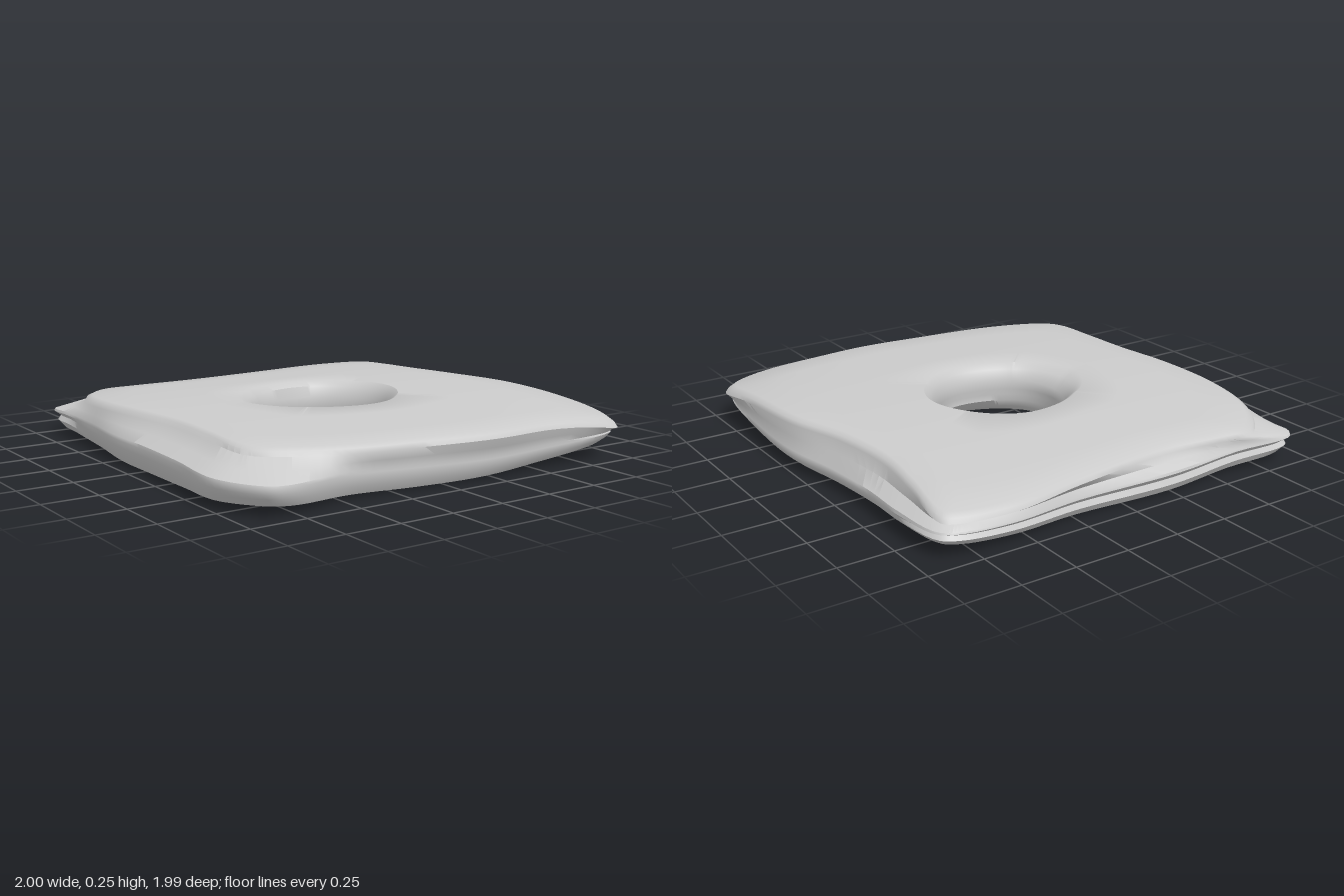
import * as THREE from 'three';
import { toCreasedNormals } from 'three/addons/utils/BufferGeometryUtils.js';

// Matching outlines [x, z] of the upper and lower lips: back, right, front, left
const UPPER = [
  [-0.79, -0.85], [-0.68, -0.94], [-0.52, -0.935], [-0.2, -0.91], [0.25, -0.95], [0.6, -1.0], [0.84, -0.97], [0.9, -0.93],
  [0.87, -0.65], [0.85, -0.4], [0.89, -0.1], [0.97, 0.2], [0.99, 0.6], [0.98, 0.9], [0.93, 0.96],
  [0.5, 0.975], [0.2, 0.99], [-0.15, 0.95], [-0.47, 0.9], [-0.7, 0.82], [-0.8, 0.76], [-0.85, 0.68],
  [-0.855, 0.4], [-0.86, 0.15], [-0.9, -0.17], [-0.91, -0.45], [-0.87, -0.7]];
const LOWER = [
  [-0.93, -0.93], [-0.88, -0.97], [-0.6, -0.95], [-0.25, -0.97], [0.25, -0.94], [0.6, -0.98], [0.84, -0.97], [0.91, -0.93],
  [0.93, -0.65], [0.92, -0.4], [0.94, -0.1], [0.99, 0.2], [0.99, 0.55], [0.96, 0.87], [0.91, 0.94],
  [0.5, 0.95], [0.2, 0.96], [-0.15, 0.93], [-0.48, 0.9], [-0.8, 0.965], [-0.89, 0.94], [-1.0, 0.74],
  [-0.98, 0.4], [-0.97, 0.1], [-0.97, -0.2], [-0.94, -0.5], [-0.93, -0.8]];

const smoothLoop = (pts) =>
  new THREE.CatmullRomCurve3(pts.map(([x, z]) => new THREE.Vector3(x, 0, z)), true, 'centripetal');

// Gently domed top, drooping at the front left corner, and an underside that lifts at the corners
const frontCorner = (x, z) => (Math.max(x, 0) * Math.max(z, 0)) ** 2;
const topY = (x, z) =>
  0.253 - (z < 0 ? 0.06 : 0.035) * z * z - 0.012 * x ** 6 - 0.065 * frontCorner(x, z) ** 2;
const bottomY = (x, z) =>
  0.001 + (x > 0 ? 0.03 : 0.012) * x * x + 0.015 * z * z + 0.035 * (x * z) ** 2 + 0.025 * frontCorner(x, z);

// Pointed flare of the hole rim, tapering linearly either side of an angle
const flareAt = (a, centre, width) =>
  Math.max(0, 1 - Math.abs(Math.atan2(Math.sin(a - centre), Math.cos(a - centre))) / width);

// One section from the top rim, out round the two lips, and back through the hole
function section(u, l) {
  const a = Math.atan2(u.z, u.x);
  const r = 0.298 + 0.01 * Math.cos(2 * a) + 0.004 * Math.cos(a) + 0.004 * Math.cos(5 * a);
  const wall = (rad, y) => new THREE.Vector3(rad * Math.cos(a), y, rad * Math.sin(a));
  const flare = 0.07 * flareAt(a, Math.PI, 0.8);
  const under = 0.04 * flareAt(a, Math.PI / 2, 1.2);
  const rim = wall(r + 0.05 + flare, 0);
  const base = wall(r + 0.05 + under, 0);
  const ring = (p, scale, y) => p.clone().multiplyScalar(scale).setY(y);
  const out = [];

  // top face
  for (const t of [0, 0.25, 0.5, 0.75, 1]) {
    const p = rim.clone().lerp(ring(u, 0.965, 0), t);
    out.push(p.setY(topY(p.x, p.z)));
  }
  // lips: the groove fades out towards the front and left, a second one runs along the back
  const lipY = topY(u.x, u.z) - 0.02;
  const lowY = 0.1 - 0.022 * l.x + (l.x > 0 ? 0.055 : 0) * (l.x * l.z) ** 2;
  const edgeY = bottomY(l.x, l.z);
  const groove = 0.035 * THREE.MathUtils.clamp((l.x - l.z) / 2 + 0.1, 0, 1);
  const back = THREE.MathUtils.smoothstep(-l.z, 0.5, 0.9);
  out.push(ring(u, 0.99, lipY + 0.01), ring(u, 1, lipY - 0.01));
  out.push(ring(u.clone().lerp(l, 0.5), 1 - groove, (lipY + lowY) / 2));
  out.push(ring(l, 0.997, lowY * 0.85 + lipY * 0.15), ring(l, 1, lowY));
  out.push(ring(l, 0.994 - 0.02 * back, lowY * 0.7 + edgeY * 0.3));
  out.push(ring(l, 0.986, lowY * 0.4 + edgeY * 0.6));
  // underside
  for (const t of [0, 0.25, 0.5, 0.75, 1]) {
    const p = ring(l, 0.96, 0).lerp(base, t);
    out.push(p.setY(bottomY(p.x, p.z)));
  }
  // hole wall, narrowing to a ridged waist
  out.push(wall(r + 0.026 + under * 0.5, 0.03), wall(r + 0.008, 0.07), wall(r + 0.01, 0.1));
  out.push(wall(r, 0.13), wall(r + 0.004, 0.175), wall(r + 0.018 + flare * 0.5, 0.225), out[0]);
  return out;
}

function slabGeometry(count) {
  const upper = smoothLoop(UPPER), lower = smoothLoop(LOWER);
  const sections = Array.from({ length: count }, (_, j) =>
    section(upper.getPoint(j / count), lower.getPoint(j / count)));
  const rows = sections[0].length;
  const index = [];
  for (let j = 0; j < count; j++) {
    for (let i = 0; i < rows - 1; i++) {
      const a = j * rows + i, b = ((j + 1) % count) * rows + i;
      index.push(a, b, a + 1, b, b + 1, a + 1);
    }
  }
  const geo = new THREE.BufferGeometry().setFromPoints(sections.flat());
  geo.setIndex(index);
  return toCreasedNormals(geo, 0.7);
}

export function createModel() {
  const group = new THREE.Group();
  group.name = 'stoneSlab';
  const slab = new THREE.Mesh(slabGeometry(162), new THREE.MeshStandardMaterial({ color: 0xcccccc }));
  slab.name = 'piercedSlab';
  group.add(slab);
  return group;
}
